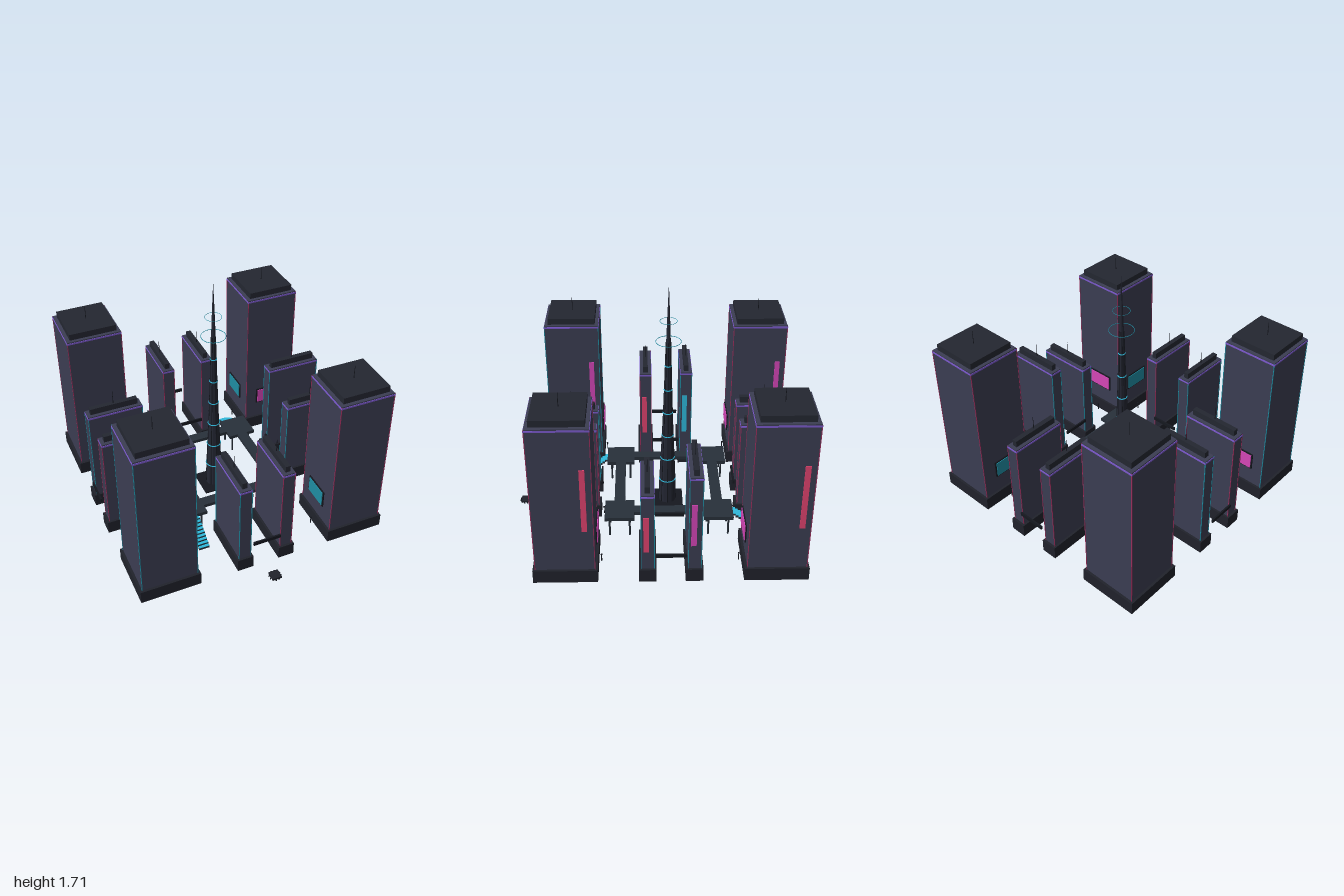
import * as THREE from 'three';

const mat = (color, extra = {}) => new THREE.MeshStandardMaterial({ color, ...extra });

export function createModel() {
  const M = {
    wall: mat(0x3b3d52), podium: mat(0x20222b), roof: mat(0x242731), dark: mat(0x15181f),
    deck: mat(0x28303a), spire: mat(0x232632, { flatShading: true }),
    cyan: mat(0x2fb9dc), pink: mat(0xe0436f), magenta: mat(0xd546b8), purple: mat(0x7d5ad0),
    cyanDim: mat(0x1f8da3), pinkDim: mat(0x9a2f5c),
  };
  const model = new THREE.Group();
  const city = new THREE.Group();
  city.name = 'cityBlocks';
  city.position.z = -0.0925;
  model.add(city);

  const add = (parent, name, geo, m, x, y, z) => {
    const mesh = new THREE.Mesh(geo, m);
    mesh.name = name;
    mesh.position.set(x, y, z);
    parent.add(mesh);
    return mesh;
  };
  // box measured from its bottom
  const box = (parent, name, m, w, h, d, x, y, z) =>
    add(parent, name, new THREE.BoxGeometry(w, h, d), m, x, y + h / 2, z);

  // podium, shaft, corner lights, crown band, roof block, mast and a tall sign on the +x face
  function building(name, x, z, pw, pd, h, edge, signMat) {
    const g = new THREE.Group();
    g.name = name;
    g.position.set(x, 0, z);
    city.add(g);
    const w = pw - (pw > 0.2 ? 0.034 : 0.03), d = pd - (pd > 0.2 ? 0.034 : 0.03);
    box(g, 'podium', M.podium, pw, 0.095, pd, 0, 0, 0);
    box(g, 'shaft', M.wall, w, h - 0.095, d, 0, 0.095, 0);
    for (const sx of [-1, 1]) for (const sz of [-1, 1])
      box(g, 'cornerLight', edge, 0.005, h - 0.1, 0.005, sx * w / 2, 0.095, sz * d / 2);
    box(g, 'crownBand', M.purple, w + 0.006, 0.012, d + 0.006, 0, h - 0.02, 0);
    box(g, 'roofBlock', M.roof, w - 0.05, 0.045, d - 0.05, 0, h, 0);
    add(g, 'mast', new THREE.CylinderGeometry(0.0015, 0.003, 0.1, 6), M.dark, 0, h + 0.09, 0);
    const offset = d > 0.2 ? -0.138 : 0.01;
    box(g, 'tallSign', signMat, 0.008, h * 0.4, 0.036, w / 2 + 0.004, h * 0.35, offset);
  }

  // four corner towers with billboards on both inner faces
  const C = 0.692, P = 0.425;
  const towers = [
    [-1, 1, 1.19, M.cyanDim, M.magenta], [1, 1, 1.17, M.pinkDim, M.pink],
    [1, -1, 1.19, M.pinkDim, M.pink], [-1, -1, 1.18, M.pinkDim, M.magenta],
  ];
  for (const [sx, sz, h, edge, sign] of towers) {
    building('cornerTower', sx * C, sz * C, P, P, h, edge, sign);
    const inner = C - 0.212;
    box(city, 'billboardFrame', M.dark, 0.008, 0.13, 0.2, sx * (inner + 0.006), 0.235, sz * C);
    box(city, 'billboardScreen', M.cyanDim, 0.006, 0.112, 0.18, sx * inner, 0.244, sz * C);
    box(city, 'billboardFrame', M.dark, 0.23, 0.13, 0.008, sx * C, 0.235, sz * (inner + 0.006));
    box(city, 'billboardScreen', M.magenta, 0.21, 0.112, 0.006, sx * C, 0.244, sz * inner);
  }

  // paired slab buildings in the four side blocks
  const S = 0.153, T = 0.115;
  const slabs = [
    [-S, C, 0.70, M.cyanDim, M.magenta], [S, C, 0.735, M.pinkDim, M.cyan],
    [-S, -C, 0.745, M.pinkDim, M.magenta], [S, -C, 0.76, M.pinkDim, M.pink],
    [C, S, 0.68, M.cyanDim, M.pink], [C, -S, 0.81, M.cyanDim, M.magenta],
    [-C, S, 0.79, M.pinkDim, M.pink], [-C, -S, 0.80, M.cyanDim, M.cyan],
  ];
  for (const [x, z, h, edge, sign] of slabs) {
    const alongZ = Math.abs(z) > Math.abs(x);
    building('slabBuilding', x, z, alongZ ? T : P, alongZ ? P : T, h, edge, sign);
  }

  // link beams joining each pair of slabs
  for (const s of [-1, 1]) for (const e of [-1, 1]) {
    const r = s * C + e * 0.215;
    box(city, 'linkBeam', M.dark, 0.2, 0.025, 0.012, 0, 0.205, r);
    box(city, 'linkBeam', M.dark, 0.012, 0.025, 0.2, r, 0.205, 0);
  }

  // street lamps along the inner kerbs
  const lamp = (x, z) => {
    add(city, 'streetLamp', new THREE.CylinderGeometry(0.003, 0.004, 0.05, 6), M.dark, x, 0.025, z);
    add(city, 'lampHead', new THREE.SphereGeometry(0.007, 8, 6), M.dark, x, 0.053, z);
  };
  for (const s of [-1, 1]) {
    for (const p of [-C, C]) { lamp(s * 0.46, p); lamp(p, s * 0.463); }
    lamp(s * 0.46, 0.165);
    lamp(0.165, s * 0.463);
  }

  // raised walkway ring: corner decks, links, columns
  const R = 0.345, deckY = 0.143, deckH = 0.026;
  const column = (x, z) =>
    add(city, 'walkwayColumn', new THREE.CylinderGeometry(0.007, 0.007, deckY, 8), M.deck, x, deckY / 2, z);
  for (const s of [-1, 1]) {
    box(city, 'walkway', M.deck, 0.49, deckH, 0.075, 0, deckY, s * R);
    box(city, 'walkway', M.deck, 0.075, deckH, 0.49, s * R, deckY, 0);
    for (const t of [-1, 1]) {
      box(city, 'cornerDeck', M.deck, 0.205, deckH, 0.205, s * R, deckY, t * R);
      for (const a of [-0.07, 0.07]) for (const b of [-0.07, 0.07]) column(s * R + a, t * R + b);
    }
  }

  // two stairs with lit treads
  for (const s of [-1, 1]) {
    const n = 9, run = 0.19 / n;
    for (let i = 0; i < n; i++) {
      const y = deckY * (1 - (i + 1) / (n + 1)), z = s * (0.4475 + run * (i + 0.5));
      box(city, 'stairStep', M.deck, 0.076, 0.016, run, -s * R, y, z);
      box(city, 'stairTread', M.cyan, 0.076, 0.003, run, -s * R, y + 0.016, z);
    }
  }

  // central spire on its plaza
  box(city, 'plaza', M.dark, 0.225, 0.01, 0.225, 0, 0, 0);
  const profile = [[0.062, 0], [0.056, 0.2], [0.048, 0.38], [0.037, 0.62], [0.026, 0.94],
    [0.016, 1.3], [0.009, 1.5], [0.0005, 1.71]].map(([r, y]) => new THREE.Vector2(r, y));
  add(city, 'spire', new THREE.LatheGeometry(profile, 12), M.spire, 0, 0, 0);
  const radiusAt = (y) => {
    const i = Math.max(1, profile.findIndex((p) => p.y >= y));
    const a = profile[i - 1], b = profile[i];
    return a.x + (b.x - a.x) * (y - a.y) / (b.y - a.y);
  };
  for (let k = 0; k < 8; k++) {
    const ang = k * Math.PI / 4;
    const path = new THREE.CatmullRomCurve3(profile.slice(0, 6).map((p) =>
      new THREE.Vector3(Math.cos(ang) * p.x, p.y, Math.sin(ang) * p.x)));
    add(city, 'spireRib', new THREE.TubeGeometry(path, 12, 0.003, 5), M.dark, 0, 0, 0);
  }
  const ring = (name, r, tube, m, y) =>
    add(city, name, new THREE.TorusGeometry(r, tube, 6, 32), m, 0, y, 0).rotation.x = Math.PI / 2;
  for (const y of [0.19, 0.377, 0.565, 0.752, 0.935, 1.12])
    ring('spireLight', radiusAt(y) + 0.001, 0.004, M.cyan, y);
  ring('haloRing', 0.086, 0.002, M.cyanDim, 1.305);
  ring('haloRing', 0.058, 0.0015, M.cyanDim, 1.455);

  // small low kiosk platform with a studded rim
  box(model, 'kioskPlatform', M.podium, 0.068, 0.016, 0.068, 0, 0.003, 0.953);
  for (let i = 0; i < 12; i++) {
    const a = (i + 0.5) * Math.PI / 6;
    add(model, 'rimStud', new THREE.CylinderGeometry(0.004, 0.004, 0.012, 6), M.dark,
      Math.cos(a) * 0.041, 0.006, 0.953 + Math.sin(a) * 0.041);
  }
  return model;
}
